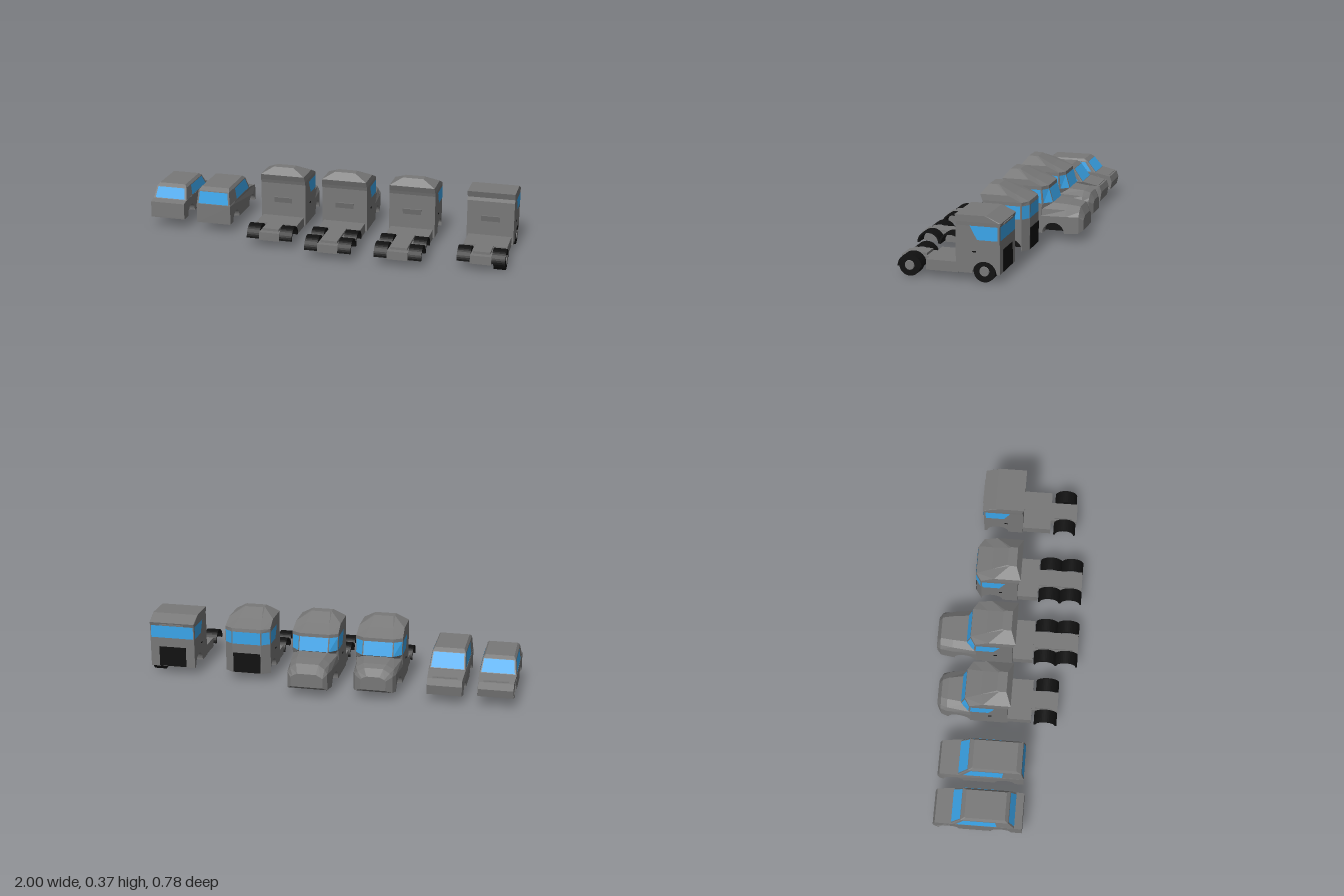
import * as THREE from 'three';

const mat = (color) => new THREE.MeshStandardMaterial({ color, flatShading: true });
const GREY = mat(0x787878), BLACK = mat(0x101010), GLASS = mat(0x3aa5ea);
GLASS.side = BLACK.side = THREE.DoubleSide;

function add(group, name, geometry, material = GREY) {
  const mesh = new THREE.Mesh(geometry, material);
  mesh.name = name;
  group.add(mesh);
  return mesh;
}

function box(group, name, x0, x1, y0, y1, z0, z1, material) {
  const g = new THREE.BoxGeometry(x1 - x0, y1 - y0, z1 - z0);
  g.translate((x0 + x1) / 2, (y0 + y1) / 2, (z0 + z1) / 2);
  return add(group, name, g, material);
}

// closed solid through rings of equal length, turned outwards by its volume
function loft(rings) {
  const n = rings[0].length, tris = [];
  for (let k = 0; k + 1 < rings.length; k++)
    for (let i = 0; i < n; i++) {
      const a = rings[k], b = rings[k + 1], j = (i + 1) % n;
      tris.push([a[i], a[j], b[j]], [a[i], b[j], b[i]]);
    }
  const end = rings[rings.length - 1];
  for (let i = 1; i + 1 < n; i++)
    tris.push([rings[0][0], rings[0][i + 1], rings[0][i]], [end[0], end[i], end[i + 1]]);
  let volume = 0;
  for (const [a, b, c] of tris) volume += a.dot(b.clone().cross(c));
  const pts = tris.flatMap(([a, b, c]) => (volume > 0 ? [a, b, c] : [a, c, b]));
  const g = new THREE.BufferGeometry().setFromPoints(pts);
  g.computeVertexNormals();
  return g;
}

// plan ring: rear corners, side front corners, narrower front edge
const plan = (y, w, zb, zs, c, zf) =>
  [[w, zb], [w, zs], [c, zf], [-c, zf], [-w, zs], [-w, zb]].map(([x, z]) => new THREE.Vector3(x, y, z));

// cross-section at z, mirrored from [halfWidth, y] pairs
const section = (z, half) => [
  ...half.map(([x, y]) => new THREE.Vector3(x, y, z)),
  ...half.slice().reverse().map(([x, y]) => new THREE.Vector3(-x, y, z)),
];

// pane lying on the face between two rings, corners in face coordinates
function pane(group, name, low, high, i, j, corners) {
  const pts = corners.map(([u, v]) =>
    low[i].clone().lerp(low[j], u).lerp(high[i].clone().lerp(high[j], u), v));
  const normal = pts[1].clone().sub(pts[0]).cross(pts[2].clone().sub(pts[0])).normalize();
  const middle = low.reduce((s, p) => s.add(p), new THREE.Vector3()).divideScalar(low.length);
  if (normal.dot(pts[0].clone().sub(middle)) < 0) { normal.negate(); pts.reverse(); }
  pts.forEach((p) => p.addScaledVector(normal, 0.0015));
  const g = new THREE.BufferGeometry().setFromPoints([pts[0], pts[1], pts[2], pts[0], pts[2], pts[3]]);
  g.computeVertexNormals();
  add(group, name, g, GLASS);
}
const rect = (u0, u1, v0, v1) => [[u0, v0], [u1, v0], [u1, v1], [u0, v1]];

// side profile with wheel arches, extruded across; halfAt sets the half width along z
function archBody(z0, z1, yb, top, arches, r, halfAt) {
  const s = new THREE.Shape();
  s.moveTo(z0, yb);
  for (const c of arches) {
    s.lineTo(c - r, yb);
    s.absarc(c, yb, r, Math.PI, 0, true);
  }
  s.lineTo(z1, yb);
  top.forEach(([z, y]) => s.lineTo(z, y));
  const g = new THREE.ExtrudeGeometry(s, { depth: 2, bevelEnabled: false, curveSegments: 10 });
  g.rotateY(-Math.PI / 2).translate(1, 0, 0);
  const p = g.attributes.position;
  for (let i = 0; i < p.count; i++) p.setX(i, p.getX(i) * halfAt(p.getZ(i)));
  g.computeVertexNormals();
  return g;
}

function mudguards(group, z) {
  const s = new THREE.Shape();
  s.absarc(0, 0, 0.062, 0, Math.PI, false);
  s.absarc(0, 0, 0.052, Math.PI, 0, true);
  for (const x of [-0.09, 0.09]) {
    const g = new THREE.ExtrudeGeometry(s, { depth: 0.07, bevelEnabled: false, curveSegments: 10 });
    g.rotateY(-Math.PI / 2).translate(x + 0.035, 0.047, z);
    add(group, 'mudguard', g, BLACK);
  }
}

function wheel(group, z) {
  const tyre = add(group, 'tyre', new THREE.CylinderGeometry(0.054, 0.054, 0.06, 24).rotateZ(Math.PI / 2), BLACK);
  tyre.position.set(0.094, 0.054, z);
  const hub = add(group, 'hub', new THREE.CylinderGeometry(0.023, 0.026, 0.006, 16).rotateZ(-Math.PI / 2));
  hub.position.set(0.125, 0.054, z);
}

function chassis(group, tankEnd, frameEnd, axles) {
  box(group, 'frame', -0.055, 0.055, 0.04, 0.085, -0.1, frameEnd);
  box(group, 'coupling', -0.045, 0.045, 0.085, 0.098, axles[0] - 0.06, frameEnd - 0.03);
  box(group, 'tanks', -0.115, 0.115, 0.036, 0.088, 0.02, tankEnd);
  axles.forEach((z) => mudguards(group, z));
}

// windows, door handles and rear ledge shared by all cabs; flat is a one-piece windscreen
function cabDetails(group, low, high, flat) {
  for (const [i, j] of [[0, 1], [5, 4]])
    pane(group, 'sideWindow', low, high, i, j, [[0.5, 0], [0.97, 0], [0.97, 1], [0.33, 1]]);
  pane(group, 'windscreen', low, high, 2, 3, rect(0.02, 0.98, 0, 1));
  if (!flat) for (const [i, j] of [[1, 2], [4, 3]])
    pane(group, 'windscreenCorner', low, high, i, j, rect(0.08, 0.95, 0, 1));
  for (const x of [-0.126, 0.126])
    box(group, 'doorHandle', x - 0.002, x + 0.002, 0.146, 0.152, -0.075, -0.056, BLACK);
  add(group, 'rearLedge', loft([plan(0.165, 0.05, 0.0285, 0.02, 0.05, 0.01), plan(0.196, 0.05, 0.036, 0.02, 0.05, 0.01)]));
}

function deflectorRoof(low) {
  return [low, plan(0.293, 0.125, 0.033, -0.172, 0.08, -0.2),
    plan(0.325, 0.122, 0.045, -0.1, 0.065, -0.118), plan(0.365, 0.056, 0.018, -0.02, 0.05, -0.032)];
}

function cabOver(flat) {
  const g = new THREE.Group(), zs = flat ? -0.188 : -0.172, c = flat ? 0.124 : 0.08, zf = flat ? -0.192 : -0.203;
  add(g, 'lowerCab', archBody(zs, 0.028, 0.042, [[0.028, 0.13], [zs, 0.13]], [-0.115], 0.06, () => 0.125));
  add(g, 'lowerFront', loft([plan(0.042, 0.125, zs + 0.001, zs, c, zf), plan(0.13, 0.125, zs + 0.001, zs, c, zf)]));
  box(g, 'wheelWell', -0.06, 0.06, 0.045, 0.13, -0.18, -0.05, BLACK);
  const low = plan(0.207, 0.125, 0.028, zs, c, zf), high = plan(0.275, 0.125, 0.028, zs, c, zf);
  const base = plan(0.13, 0.125, 0.028, zs, c, zf);
  const roof = flat
    ? [high, plan(0.293, 0.126, 0.022, zs, c, -0.197), plan(0.326, 0.126, 0.032, -0.12, c, -0.124)]
    : deflectorRoof(high);
  add(g, 'cab', loft([base, low, ...roof]));
  cabDetails(g, low, high, flat);
  box(g, 'grille', -0.075, 0.075, 0.045, 0.155, zf - 0.003, zf + 0.01, BLACK);
  if (flat) box(g, 'sunVisor', -0.07, 0.07, 0.278, 0.286, -0.2, -0.19);
  return g;
}

// hooded cab; nose lists sections as [z, [halfWidth, y] pairs from the sill up]
function hoodedCab(nose) {
  const g = new THREE.Group();
  const low = plan(0.203, 0.125, 0.028, -0.178, 0.08, -0.223), high = plan(0.275, 0.125, 0.028, -0.172, 0.08, -0.201);
  add(g, 'cab', loft([plan(0.042, 0.125, 0.028, -0.17, 0.1, -0.178), plan(0.17, 0.125, 0.028, -0.17, 0.1, -0.178),
    low, ...deflectorRoof(high)]));
  cabDetails(g, low, high, false);
  const [zn, [[wn], ...upper]] = nose[0];
  const half = (z) => 0.125 + (wn - 0.125) * (z + 0.17) / (zn + 0.17);
  add(g, 'fenders', archBody(zn, -0.17, 0.042, [[-0.17, 0.13], [zn, 0.13]], [-0.234], 0.058, half));
  box(g, 'wheelWell', -0.065, 0.065, 0.045, 0.13, zn, -0.17, BLACK);
  add(g, 'hood', loft([section(-0.17, [[0.125, 0.13], [0.125, 0.135], [0.12, 0.174], [0.08, 0.203]]),
    section(zn, [[wn, 0.13], ...upper])]));
  add(g, 'nose', loft(nose.map(([z, points]) => section(z, points))));
  return g;
}

function car({ rear, low, high, cap, lowY, windowStart }) {
  const g = new THREE.Group();
  add(g, 'body', archBody(-0.312, rear[0][0], lowY, rear.concat([[-0.22, 0.155], [-0.308, 0.135], [-0.32, 0.1]]),
    [-0.235, 0.04], 0.052, (z) => (z < -0.3 ? 0.091 : 0.097)));
  box(g, 'floor', -0.065, 0.065, lowY + 0.005, 0.14, -0.3, 0.13);
  add(g, 'cabin', loft([low, high, cap]));
  for (const [i, j] of [[0, 1], [5, 4]])
    pane(g, 'sideWindow', low, high, i, j, rect(windowStart, 0.95, 0.08, 0.95));
  pane(g, 'windscreen', low, high, 2, 3, rect(0.03, 0.97, 0.04, 0.97));
  pane(g, 'rearWindow', low, high, 5, 0, rect(0.05, 0.95, 0.06, 0.95));
  return g;
}

export function createModel() {
  const model = new THREE.Group();
  const place = (name, g, x) => { g.name = name; g.position.x = x; model.add(g); return g; };

  place('sedan', car({
    lowY: 0.058, windowStart: 0.28, rear: [[0.152, 0.065], [0.15, 0.146], [0.11, 0.155]],
    low: plan(0.154, 0.096, 0.11, -0.215, 0.092, -0.222),
    high: plan(0.217, 0.086, 0.078, -0.165, 0.083, -0.17),
    cap: plan(0.231, 0.075, 0.06, -0.145, 0.072, -0.15),
  }), -0.903);
  place('offRoader', car({
    lowY: 0.048, windowStart: 0.34, rear: [[0.14, 0.155]],
    low: plan(0.154, 0.096, 0.14, -0.2, 0.092, -0.208),
    high: plan(0.229, 0.088, 0.127, -0.15, 0.085, -0.154),
    cap: plan(0.245, 0.078, 0.1, -0.128, 0.075, -0.132),
  }), -0.638);

  const short = place('shortHoodTruck', hoodedCab([
    [-0.3, [[0.112, 0.042], [0.112, 0.135], [0.1, 0.164], [0.06, 0.188]]],
    [-0.335, [[0.1, 0.046], [0.1, 0.135], [0.085, 0.153], [0.05, 0.175]]],
    [-0.356, [[0.066, 0.062], [0.066, 0.115], [0.06, 0.123], [0.035, 0.135]]]]), -0.27);
  chassis(short, 0.155, 0.295, [0.233]);
  const long = place('longHoodTruck', hoodedCab([
    [-0.3, [[0.116, 0.042], [0.116, 0.135], [0.105, 0.169], [0.07, 0.194]]],
    [-0.368, [[0.107, 0.046], [0.107, 0.135], [0.092, 0.16], [0.06, 0.184]]],
    [-0.39, [[0.086, 0.062], [0.086, 0.115], [0.075, 0.123], [0.05, 0.135]]]]), 0.076);
  chassis(long, 0.14, 0.385, [0.207, 0.325]);
  const over = place('cabOverTruck', cabOver(false), 0.449);
  chassis(over, 0.14, 0.385, [0.207, 0.325]);
  const flat = place('flatCabTruck', cabOver(true), 0.871);
  chassis(flat, 0.184, 0.332, [0.265]);
  [-0.115, 0.265].forEach((z) => wheel(flat, z));
  return model;
}
